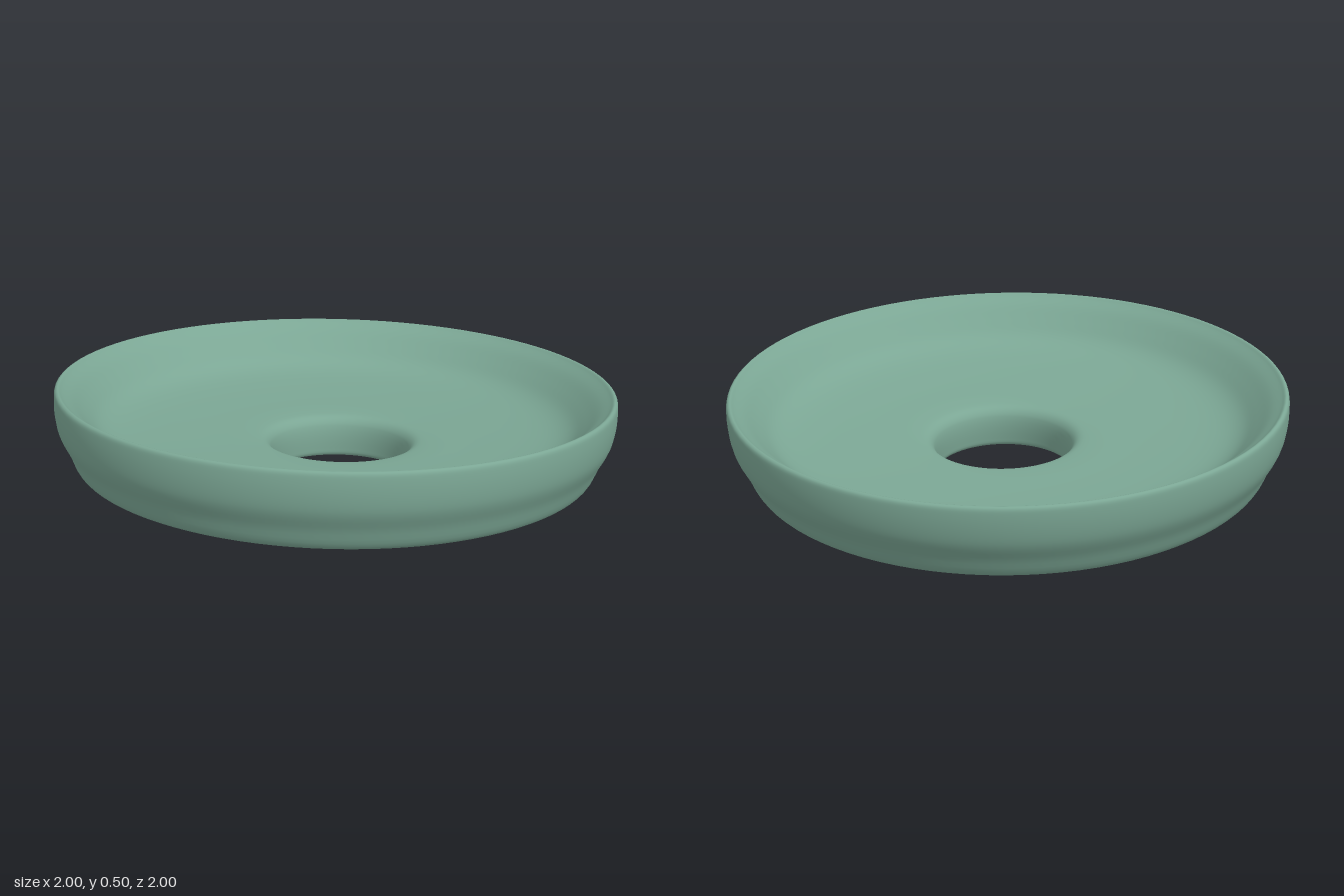
import * as THREE from 'three';

export function createModel() {
  const model = new THREE.Group();
  model.name = 'tiltedDish';

  const sageGreen = new THREE.MeshStandardMaterial({ color: 0x7ba694 });
  sageGreen.name = 'sageGreen';

  // Closed cross-section [radius, height below the rim]: underside, outer wall, lip, bowl, hole
  const section = [
    [0.254, -0.35], [0.45, -0.356], [0.62, -0.359], [0.77, -0.322], [0.9, -0.285],
    [0.927, -0.267], [0.955, -0.205], [0.986, -0.143], [0.997, -0.09], [0.999, -0.03],
    [0.995, -0.006], [0.985, 0], [0.97, -0.011], [0.935, -0.038], [0.89, -0.084], [0.842, -0.13],
    [0.79, -0.156], [0.7, -0.174], [0.5, -0.189], [0.32, -0.197], [0.272, -0.207],
    [0.25, -0.235], [0.246, -0.32],
  ];
  const curve = new THREE.CatmullRomCurve3(
    section.map(([r, y]) => new THREE.Vector3(r, y, 0)), true, 'centripetal');
  const profile = [];
  for (let i = 0; i <= section.length * 4; i++) {
    const p = curve.getPoint(i / (section.length * 4));
    profile.push(new THREE.Vector2(p.x, p.y));
  }
  const geometry = new THREE.LatheGeometry(profile, 96);

  // The hole sits a little off centre
  const pos = geometry.attributes.position;
  for (let i = 0; i < pos.count; i++) {
    const x = pos.getX(i), z = pos.getZ(i);
    const nearHole = 1 - THREE.MathUtils.smoothstep(Math.hypot(x, z), 0.3, 0.65);
    pos.setX(i, x + 0.016 * nearHole);
    pos.setZ(i, z + 0.009 * nearHole);
  }

  // Lean the dish down towards the back left, then rest it on the ground
  const axis = new THREE.Vector3(0.061, 1, -0.061).normalize();
  geometry.applyQuaternion(
    new THREE.Quaternion().setFromUnitVectors(new THREE.Vector3(0, 1, 0), axis));
  geometry.computeBoundingBox();
  const box = geometry.boundingBox, c = box.getCenter(new THREE.Vector3());
  geometry.translate(-c.x, -box.min.y, -c.z);

  const dish = new THREE.Mesh(geometry, sageGreen);
  dish.name = 'dish';
  model.add(dish);
  return model;
}
